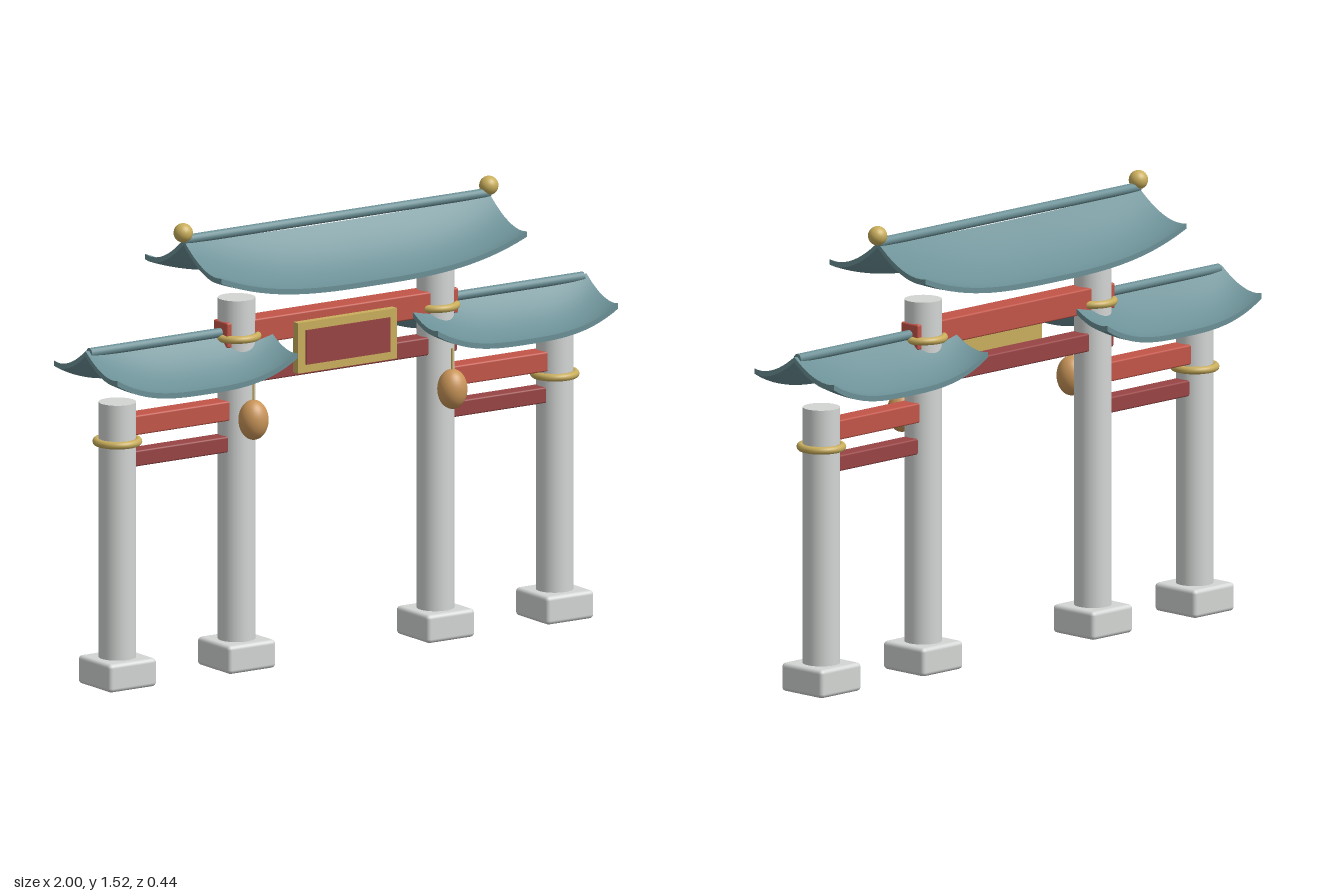
import * as THREE from 'three';
import { toCreasedNormals } from 'three/addons/utils/BufferGeometryUtils.js';
import { RoundedBoxGeometry } from 'three/addons/geometries/RoundedBoxGeometry.js';

const mat = (name, color) => {
  const m = new THREE.MeshStandardMaterial({ color });
  m.name = name;
  return m;
};

// Curved two-sided roof slab: concave slopes whose eaves sweep up toward both ends
function roofGeometry({ half, depth, apex, drop, ridgeLift, eaveLift, thickness }) {
  const nx = 32, nz = 20, loop = 2 * (nz + 1);
  const pos = [], idx = [];
  for (let i = 0; i <= nx; i++) {
    const u = (i / nx) * 2 - 1;
    for (let k = 0; k < loop; k++) {
      const top = k <= nz;
      const s = ((top ? k : loop - 1 - k) / nz) * 2 - 1;
      const t = Math.abs(s);
      const y = apex - drop * (1 - Math.pow(1 - t, 1.7))
        + (ridgeLift + (eaveLift - ridgeLift) * t) * Math.pow(Math.abs(u), 3);
      pos.push(u * half, top ? y : y - thickness, s * depth);
    }
  }
  for (let i = 0; i < nx; i++) {
    for (let k = 0; k < loop; k++) {
      const a = i * loop + k, b = i * loop + ((k + 1) % loop);
      idx.push(a, b, a + loop, b, b + loop, a + loop);
    }
  }
  // end caps
  const e = nx * loop;
  for (let k = 0; k < nz; k++) {
    const a = k, b = k + 1, c = loop - 2 - k, d = loop - 1 - k;
    idx.push(a, d, b, b, d, c);
    idx.push(e + a, e + b, e + d, e + b, e + c, e + d);
  }
  const g = new THREE.BufferGeometry();
  g.setAttribute('position', new THREE.Float32BufferAttribute(pos, 3));
  g.setIndex(idx);
  return toCreasedNormals(g, 0.6);
}

export function createModel() {
  const model = new THREE.Group();
  model.name = 'gateway';

  const stone = mat('pale stone', 0xd3d6d4);
  const teal = mat('teal tile', 0x6b9096);
  const red = mat('bright red', 0xc25548);
  const darkRed = mat('dark red', 0x984343);
  const gold = mat('gold', 0xc9ae5c);
  const amber = mat('amber lantern', 0xc99559);

  const add = (name, geometry, material, x = 0, y = 0, z = 0) => {
    const m = new THREE.Mesh(geometry, material);
    m.name = name;
    m.position.set(x, y, z);
    model.add(m);
    return m;
  };
  const beam = (name, material, x, y0, y1, length, depth) =>
    add(name, new RoundedBoxGeometry(length, y1 - y0, depth, 2, 0.006), material, x, (y0 + y1) / 2, 0);

  // Ridge pole along the top of a roof
  const ridge = (name, x, y, length) => {
    add(name, new THREE.CylinderGeometry(0.016, 0.016, length, 16), teal, x, y, 0).rotation.z = Math.PI / 2;
  };

  // Pillar with its footing and gold collar
  const pillar = (name, x, height, ringY) => {
    add(name + 'Base', new RoundedBoxGeometry(0.19, 0.095, 0.19, 3, 0.014), stone, x, 0.0475, 0);
    add(name, new THREE.CylinderGeometry(0.062, 0.062, height - 0.03, 32), stone, x, (height + 0.03) / 2, 0);
    add(name + 'Ring', new THREE.TorusGeometry(0.069, 0.013, 12, 40), gold, x, ringY, 0).rotation.x = Math.PI / 2;
  };

  // Central roof
  add('mainRoof', roofGeometry({
    half: 0.61, depth: 0.222, apex: 1.447, drop: 0.155,
    ridgeLift: 0.02, eaveLift: 0.085, thickness: 0.018,
  }), teal);
  ridge('mainRidge', 0, 1.466, 1.22);

  // Central beams
  beam('mainUpperBeam', red, 0, 1.087, 1.172, 0.924, 0.08);
  beam('mainLowerBeam', darkRed, 0, 0.957, 1.018, 0.924, 0.068);

  // Name board: gold frame with a plain red panel
  add('plaqueFrame', new THREE.BoxGeometry(0.395, 0.17, 0.03), gold, 0, 1.058, 0.052);
  add('plaquePanel', new THREE.BoxGeometry(0.335, 0.116, 0.006), darkRed, 0, 1.058, 0.069);

  const sideRoof = roofGeometry({
    half: 0.36, depth: 0.184, apex: 1.122, drop: 0.12,
    ridgeLift: 0.02, eaveLift: 0.074, thickness: 0.018,
  });

  for (const [side, s] of [['left', 1], ['right', -1]]) {
    pillar(side + 'InnerPillar', s * 0.397, 1.245, 1.116);
    pillar(side + 'OuterPillar', s * 0.873, 0.955, 0.822);

    // Side bay
    add(side + 'Roof', sideRoof, teal, s * 0.64, 0, 0);
    ridge(side + 'Ridge', s * 0.64, 1.134, 0.69);
    beam(side + 'UpperBeam', red, s * 0.635, 0.84, 0.907, 0.42, 0.068);
    beam(side + 'LowerBeam', darkRed, s * 0.635, 0.733, 0.787, 0.42, 0.058);

    // Ridge ball
    add(side + 'Finial', new THREE.SphereGeometry(0.032, 24, 16), gold, s * 0.61, 1.49, 0);

    // Hanging lantern
    add(side + 'Lantern', new THREE.SphereGeometry(0.05, 28, 20), amber, s * 0.397, 0.85, 0.098)
      .scale.set(1, 1.34, 1);
    add(side + 'LanternCord', new THREE.CylinderGeometry(0.004, 0.004, 0.09, 8), gold, s * 0.397, 0.942, 0.098);
  }
  return model;
}
